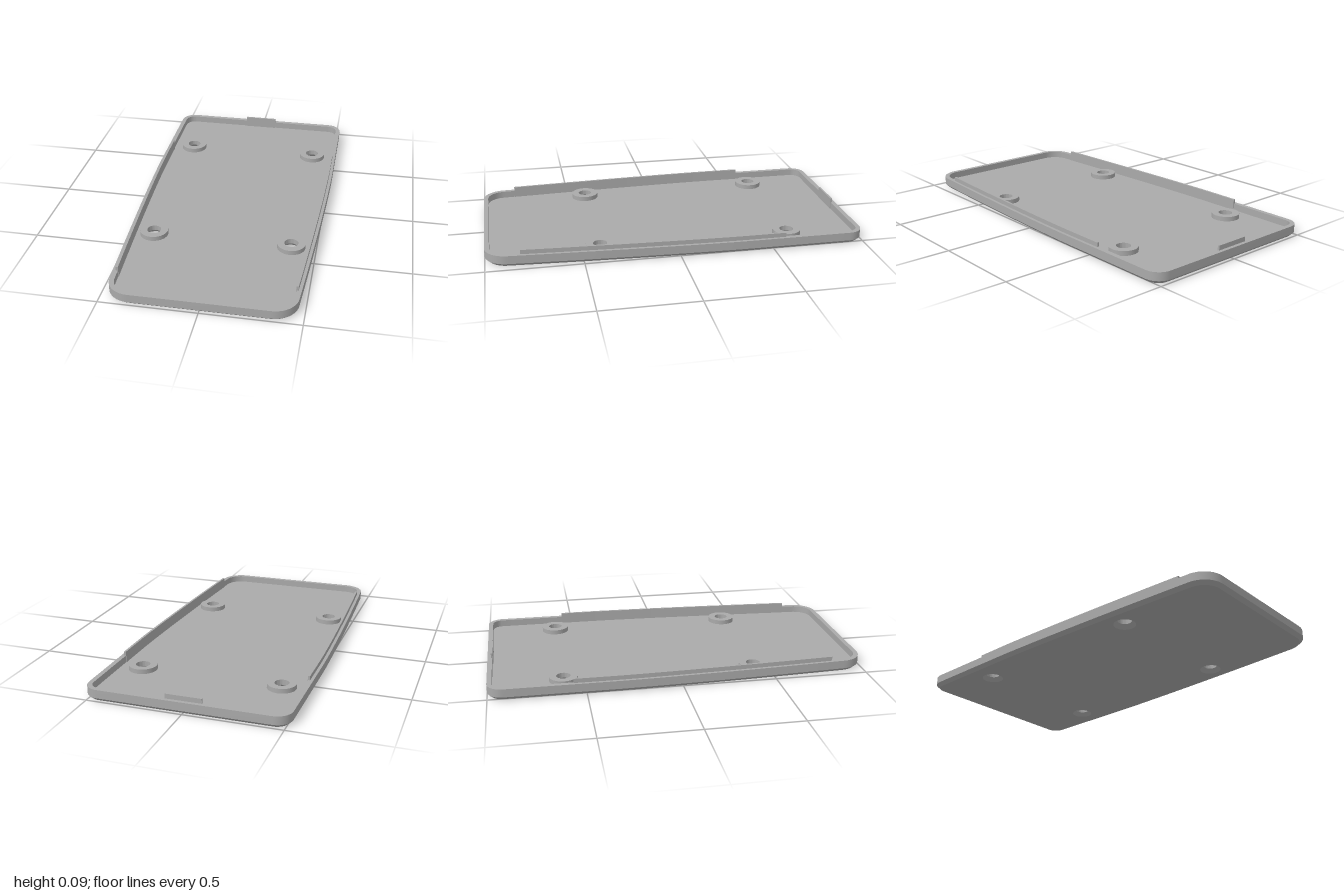
import * as THREE from 'three';
import { toCreasedNormals } from 'three/addons/utils/BufferGeometryUtils.js';

const WALL_TOP = 0.062, FLOOR = 0.025, BOSS_TOP = 0.05;
const BOSS_R = 0.075, HOLE_R = 0.037, SINK_R = 0.058, SEG = 40;
const BOSSES = [[-0.375, -0.61], [0.375, -0.61], [-0.37, 0.405], [0.37, 0.405]];

// half width of the plate: straight at the back, tapering to the front
const sideX = z => 0.522 - 0.054 * Math.pow(Math.max(0, (z + 0.35) / 1.23), 1.4);

// closed outline as [x, z] points, moved inwards by d
function outline(d) {
  const half = [];
  const arc = (cx, cz, r, from, to) => {
    for (let i = 0; i <= 10; i++) {
      const a = from + (to - from) * i / 10;
      half.push([cx + (r - d) * Math.cos(a), cz + (r - d) * Math.sin(a)]);
    }
  };
  arc(sideX(-0.92) - 0.08, -0.92, 0.08, -Math.PI / 2, 0);
  for (let i = 1; i < 24; i++) {
    const z = -0.92 + 1.8 * i / 24;
    half.push([sideX(z) - d, z]);
  }
  arc(sideX(0.88) - 0.12, 0.88, 0.12, 0, Math.PI / 2);
  return [...half, ...half.slice().reverse().map(([x, z]) => [-x, z])];
}

// skin through a list of [inset, height] rings
function skin(rings) {
  const pos = [], idx = [];
  let n = 0;
  for (const [d, y] of rings) {
    const pts = outline(d);
    n = pts.length;
    for (const [x, z] of pts) pos.push(x, y, z);
  }
  for (let r = 0; r < rings.length - 1; r++) {
    for (let i = 0; i < n; i++) {
      const a = r * n + i, b = r * n + (i + 1) % n;
      idx.push(a, a + n, b, b, a + n, b + n);
    }
  }
  const g = new THREE.BufferGeometry();
  g.setAttribute('position', new THREE.Float32BufferAttribute(pos, 3));
  g.setIndex(idx);
  return toCreasedNormals(g, 0.6);
}

// flat sheet with round holes, facing up (s = 1) or down (s = -1)
function sheet(d, y, holeR, s) {
  const shape = new THREE.Shape(outline(d).map(([x, z]) => new THREE.Vector2(x, -s * z)));
  for (const [x, z] of BOSSES) {
    const hole = new THREE.Path();
    hole.absarc(x, -s * z, holeR, 0, Math.PI * 2, true);
    shape.holes.push(hole);
  }
  return new THREE.ShapeGeometry(shape, SEG / 2).rotateX(-s * Math.PI / 2).translate(0, y, 0);
}

// thin ridge that follows the inside of a side wall
function lipGeometry(side) {
  const inner = [], outer = [];
  for (let i = 0; i <= 20; i++) {
    const z = -0.565 + 1.385 * i / 20;
    outer.push(new THREE.Vector2(side * (sideX(z) - 0.016), -z));
    inner.unshift(new THREE.Vector2(side * (sideX(z) - 0.028), -z));
  }
  const g = new THREE.ExtrudeGeometry(new THREE.Shape([...outer, ...inner]),
    { depth: 0.085 - FLOOR, bevelEnabled: false });
  return g.rotateX(-Math.PI / 2).translate(0, FLOOR, 0);
}

export function createModel() {
  const group = new THREE.Group();
  group.name = 'coverPlate';
  const grey = new THREE.MeshStandardMaterial({ color: 0xaaaaaa });
  grey.name = 'plain grey';
  const add = (name, geometry) => {
    const mesh = new THREE.Mesh(geometry, grey);
    mesh.name = name;
    group.add(mesh);
    return mesh;
  };

  // rim with chamfered lower edge, floor and underside
  add('rim', skin([[0.02, 0], [0, 0.018], [0, WALL_TOP], [0.025, WALL_TOP], [0.025, FLOOR]]));
  add('floor', sheet(0.025, FLOOR, BOSS_R, 1));
  add('underside', sheet(0.02, 0, SINK_R, -1));

  // screw bosses, countersunk from below
  const profile = [[BOSS_R, FLOOR], [BOSS_R, BOSS_TOP], [HOLE_R, BOSS_TOP], [HOLE_R, 0.022], [SINK_R, 0]]
    .map(([x, y]) => new THREE.Vector2(x, y));
  const boss = toCreasedNormals(new THREE.LatheGeometry(profile, SEG), 0.6);
  for (const [x, z] of BOSSES) add('screwBoss', boss).position.set(x, 0, z);

  // locating lips on both sides and the catch at the back
  add('leftLip', lipGeometry(1));
  add('rightLip', lipGeometry(-1));
  add('backCatch', new THREE.BoxGeometry(0.188, 0.062, 0.01)).position.set(-0.002, 0.056, -0.976);

  return group;
}
